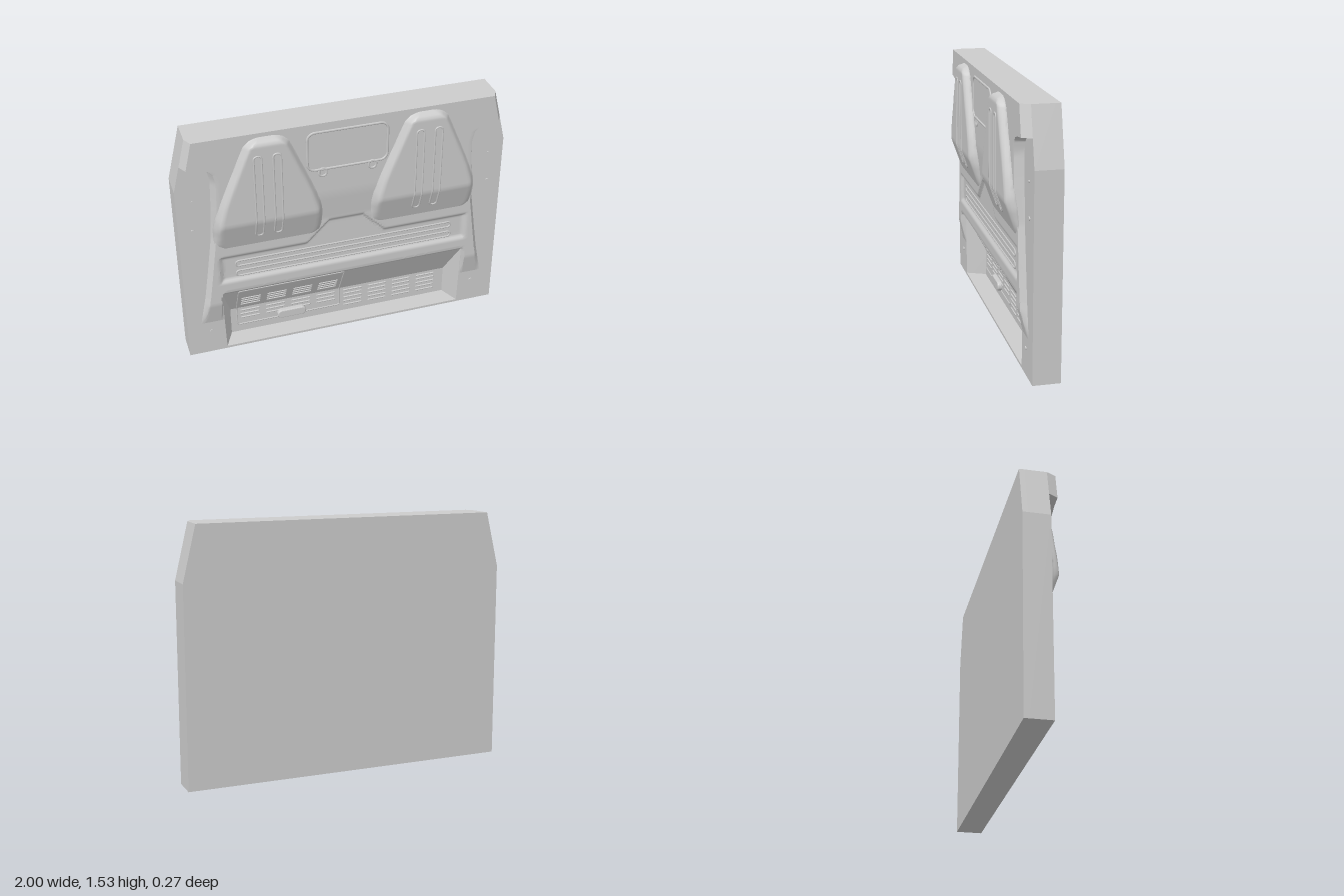
import * as THREE from 'three';
import { toCreasedNormals } from 'three/addons/utils/BufferGeometryUtils.js';

const mat = new THREE.MeshStandardMaterial({ color: 0xcccccc, side: THREE.DoubleSide });
const clamp = (v, a = 0, b = 1) => Math.min(b, Math.max(a, v));
const smooth = t => { t = clamp(t); return t * t * (3 - 2 * t); };

// Piecewise linear lookup through [position, value] pairs
function lerpTable(table, p) {
  if (p <= table[0][0]) return table[0][1];
  for (let i = 1; i < table.length; i++) {
    const [a, va] = table[i - 1], [b, vb] = table[i];
    if (p <= b) return va + (vb - va) * (p - a) / (b - a);
  }
  return table[table.length - 1][1];
}

// Skin over rows of [x, y, z] cross-sections
function sheet(rows, crease = 0.6) {
  const n = rows[0].length, index = [];
  for (let j = 0; j < rows.length - 1; j++) for (let i = 0; i < n - 1; i++) {
    const a = j * n + i;
    index.push(a, a + 1, a + n + 1, a, a + n + 1, a + n);
  }
  const g = new THREE.BufferGeometry();
  g.setAttribute('position', new THREE.Float32BufferAttribute(rows.flat(2), 3));
  g.setIndex(index);
  return toCreasedNormals(g, crease);
}

const range = (a, b, n) => Array.from({ length: n + 1 }, (_, i) => a + (b - a) * i / n);

// Heights and outlines
const panelZ = [[0.43, 0.03], [0.445, 0.055], [0.46, 0.065], [0.87, 0.065], [1.05, 0.085], [1.53, 0.085]];
const panelEdge = [[0.23, 0.915], [0.38, 0.885], [0.43, 0.875], [0.6, 0.85], [0.85, 0.815], [1.1, 0.8], [1.25, 0.795],
  [1.31, 0.81], [1.335, 0.835], [1.35, 0.88], [1.36, 0.961], [1.53, 0.92]];
const padZ = [[0.775, 0.062], [0.97, 0.13], [1.47, 0.13], [1.49, 0.118], [1.505, 0.085]];
const padHalf = [[0.775, 0.26], [0.785, 0.295], [0.81, 0.32], [0.85, 0.329], [0.93, 0.332], [1.0, 0.322], [1.1, 0.29],
  [1.2, 0.25], [1.3, 0.207], [1.4, 0.165], [1.46, 0.138], [1.49, 0.105], [1.505, 0.07]];
const recessZ = y => y < 0.2 ? -0.09 : -0.09 + (y - 0.2) * 0.12 / 0.23;

// Shallow sunk belt with a raised step in the middle
function beltDepth(x, y) {
  const ax = Math.abs(x), top = clamp(0.97 - ax, 0.725, 0.865);
  return 0.018 * smooth(Math.min(0.785 - ax, y - 0.525, top - y) / 0.03);
}

function roundedRect(x0, y0, x1, y1, r) {
  const s = new THREE.Shape();
  s.moveTo(x0 + r, y0);
  s.lineTo(x1 - r, y0).absarc(x1 - r, y0 + r, r, -Math.PI / 2, 0);
  s.lineTo(x1, y1 - r).absarc(x1 - r, y1 - r, r, 0, Math.PI / 2);
  s.lineTo(x0 + r, y1).absarc(x0 + r, y1 - r, r, Math.PI / 2, Math.PI);
  s.lineTo(x0, y0 + r).absarc(x0 + r, y0 + r, r, Math.PI, Math.PI * 1.5);
  return s;
}

// Thin pressed rim following a surface height
function rim(shape, height, radius, n = 90) {
  const pts = shape.getSpacedPoints(n).slice(0, -1).map(p => new THREE.Vector3(p.x, p.y, height(p.y)));
  return new THREE.TubeGeometry(new THREE.CatmullRomCurve3(pts, true), n * 2, radius, 6, true);
}

export function createModel() {
  const model = new THREE.Group();
  const add = (name, geometry, x = 0, y = 0, z = 0) => {
    const m = new THREE.Mesh(geometry, mat);
    m.name = name;
    m.position.set(x, y, z);
    model.add(m);
    return m;
  };

  // Slab: solid back plate and front layer with the recess opening
  const outline = () => new THREE.Shape([[-1, 0], [1, 0], [1, 1.2], [0.92, 1.53], [-0.92, 1.53], [-1, 1.2]]
    .map(p => new THREE.Vector2(...p)));
  add('backPlate', new THREE.ExtrudeGeometry(outline(), { depth: 0.03, bevelEnabled: false }), 0, 0, -0.13);
  const front = outline();
  front.holes.push(new THREE.Path([[-0.765, 0.015], [-0.775, 0.43], [0.775, 0.43], [0.765, 0.015]]
    .map(p => new THREE.Vector2(...p))));
  add('slab', new THREE.ExtrudeGeometry(front, { depth: 0.13, bevelEnabled: false }), 0, 0, -0.1);

  // Lower recess: floor, back wall, overhanging slope and flared ends
  const prof = [[0.765, 0.015, 0.03], [0.71, 0.015, -0.09], [0.71, 0.2, -0.09], [0.775, 0.43, 0.03]];
  add('recess', sheet(prof.map(([w, y, z]) => [[-w, y, z], [w, y, z]]), 0.1));
  for (const s of [-1, 1]) {
    const [a, b, c, d] = prof.map(([w, y, z]) => [s * w, y, z]);
    add('recessEnd', sheet(s < 0 ? [[a, b], [d, c]] : [[b, a], [c, d]], 0.1));
  }

  // Raised panel with sloping side walls and the sunk belt
  const us = [-1, ...range(-0.97, 0.97, 120), 1];
  const ys = [...range(0.43, 0.46, 4), ...range(0.47, 0.92, 50), ...range(0.95, 1.28, 10),
    ...range(1.29, 1.37, 16), ...range(1.4, 1.53, 3)];
  const rows = ys.map(y => us.map(u => {
    const X = lerpTable(panelEdge, y), x = u * X;
    const top = (Math.abs(x) > 0.775 ? Math.max(0.065, lerpTable(panelZ, y)) : lerpTable(panelZ, y)) - beltDepth(x, y);
    return [x, y, 0.03 + (top - 0.03) * clamp((1 - Math.abs(u)) * X / 0.025)];
  }));
  rows.push(rows[rows.length - 1].map(([x, y]) => [x, y, 0.03]));
  add('raisedPanel', sheet(rows));

  for (const s of [-1, 1]) {
    // Tapered lower ends of the panel beside the recess
    add('sideRib', sheet(range(0.23, 0.43, 12).map(y => range(-1, 1, 20).map(u => {
      const outer = lerpTable(panelEdge, y), t = (s * u + 1) / 2, w = outer - 0.775;
      const h = lerpTable([[0.23, 0.03], [0.38, 0.065]], y) - 0.03;
      return [s * (0.775 + w * t), y, 0.03 + h * clamp((1 - t) * w / 0.025) * clamp(t * w / 0.01)];
    }))));

    // Large tapering pad
    const cx = s * 0.475;
    const padYs = [0.775, 0.78, 0.785, 0.795, 0.81, ...range(0.83, 1.43, 30), ...range(1.44, 1.505, 8)];
    add('pad', sheet(padYs.map(y => range(-1, 1, 36).map(t => {
      const u = Math.sin(t * Math.PI / 2), w = lerpTable(padHalf, y), base = lerpTable(panelZ, y) - 0.004;
      return [cx + u * w, y, base + (lerpTable(padZ, y) - base) * smooth((1 - Math.abs(u)) * w / 0.04)];
    })), 0.9));
    for (const x of [0.425, 0.537]) {
      add('padSlot', rim(roundedRect(s * x - 0.023, 0.855, s * x + 0.023, 1.41, 0.02),
        y => lerpTable(padZ, y), 0.006));
    }

    // Fasteners on the side flanges
    for (const [x, y, r] of [[0.915, 0.92, 0.011], [0.905, 1.12, 0.006], [0.855, 0.16, 0.012]]) {
      add('fastener', new THREE.CylinderGeometry(r, r, 0.008, 16).rotateX(Math.PI / 2), s * x, y, 0.032);
    }

    // Tabs under the window frame
    add('frameTab', rim(roundedRect(s * 0.15 - 0.022, 1.185, s * 0.15 + 0.022, 1.235, 0.02), () => 0.085, 0.007, 30));
  }

  // Window frame and belt beads
  add('windowFrame', rim(roundedRect(-0.24, 1.23, 0.24, 1.475, 0.045), () => 0.085, 0.008));
  for (const y of [0.577, 0.648]) {
    add('beltBead', rim(roundedRect(-0.68, y - 0.018, 0.68, y + 0.018, 0.014), () => 0.047, 0.006, 160));
  }

  // Hatch with its handle
  add('hatchRim', rim(roundedRect(-0.67, 0.07, 0, 0.415, 0.012), y => recessZ(y), 0.005, 140));
  add('hatchHandle', new THREE.ExtrudeGeometry(roundedRect(-0.085, -0.022, 0.085, 0.022, 0.02),
    { depth: 0.02, bevelSize: 0.008, bevelThickness: 0.008, bevelSegments: 3 }), -0.32, 0.1, -0.09);

  // Louvres on the slope, hatch wall and right wall
  const louvres = (startX, list) => {
    for (let c = 0; c < 4; c++) for (const y of list) {
      const m = add('louvre', new THREE.CapsuleGeometry(0.005, 0.115, 3, 6).rotateZ(Math.PI / 2),
        startX + c * 0.165, y, recessZ(y));
      m.scale.z = 1.4;
    }
  };
  louvres(-0.585, [0.245, 0.27, 0.295, 0.32]);
  louvres(-0.585, [0.122, 0.15, 0.178]);
  louvres(0.09, [0.06, 0.09, 0.12, 0.15, 0.178]);

  return model;
}
